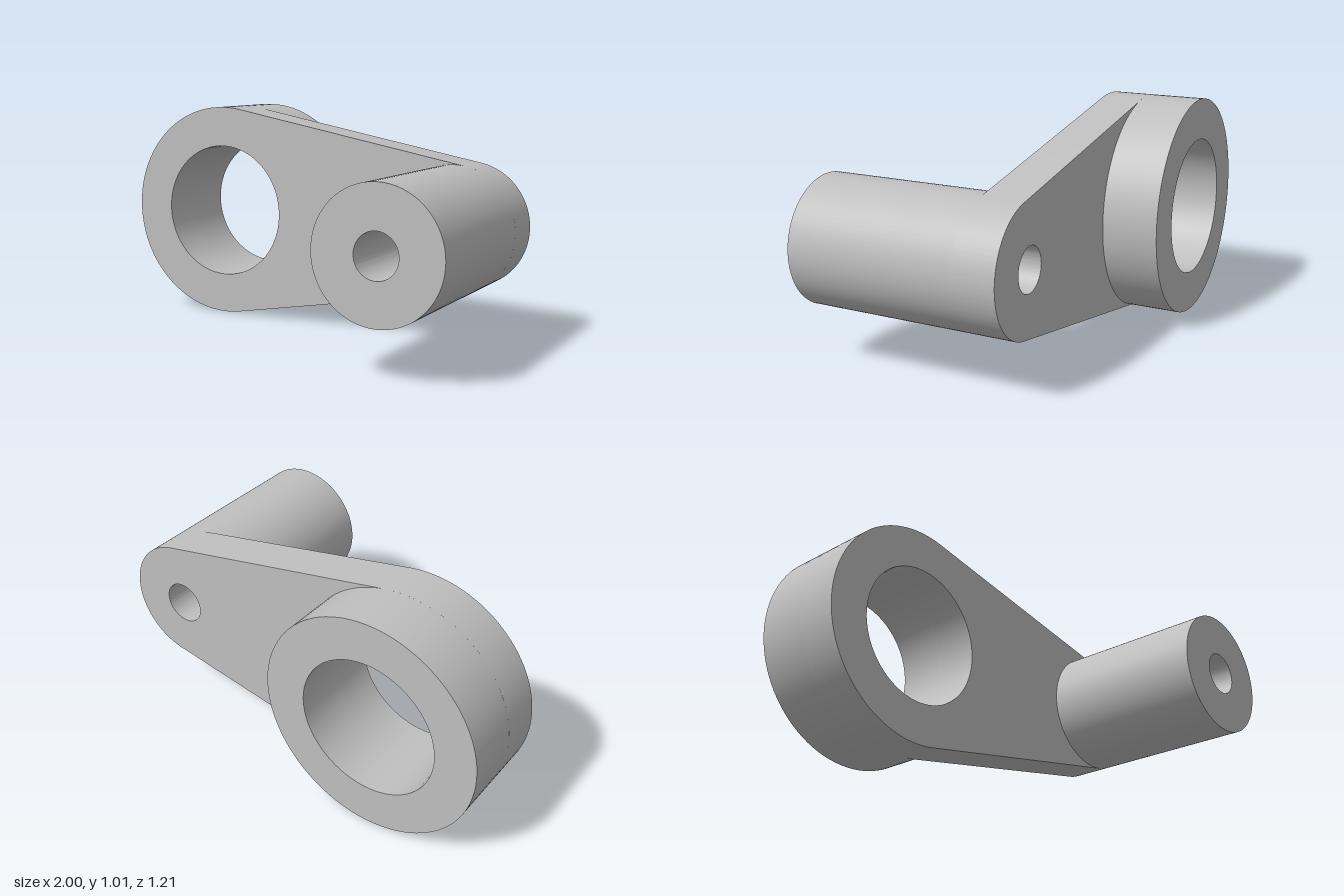
import * as THREE from 'three';
import { toCreasedNormals } from 'three/addons/utils/BufferGeometryUtils.js';

// Axes of the two bosses, seen from the front
const Y = 0.508;
const BIG = { x: -0.493, r: 0.507, bore: 0.318 };
const SMALL = { x: 0.715, r: 0.285, bore: 0.097 };
const BACK = -0.605, PLATE_BACK = -0.352, PLATE_FRONT = -0.16, FRONT = 0.605;

function addBore(shape, boss) {
  const hole = new THREE.Path();
  hole.absarc(boss.x, Y, boss.bore, 0, Math.PI * 2, true);
  shape.holes.push(hole);
}

function ringShape(boss) {
  const shape = new THREE.Shape();
  shape.absarc(boss.x, Y, boss.r, 0, Math.PI * 2, false);
  addBore(shape, boss);
  return shape;
}

// Two end arcs joined by their common tangents
function armShape() {
  const a = Math.acos((BIG.r - SMALL.r) / (SMALL.x - BIG.x));
  const shape = new THREE.Shape();
  shape.absarc(SMALL.x, Y, SMALL.r, -a, a, false);
  shape.absarc(BIG.x, Y, BIG.r, a, Math.PI * 2 - a, false);
  shape.closePath();
  addBore(shape, BIG);
  addBore(shape, SMALL);
  return shape;
}

export function createModel() {
  const group = new THREE.Group();
  group.name = 'crankArm';
  const metal = new THREE.MeshStandardMaterial({ color: 0xbfbfbf });
  metal.name = 'grey metal';

  function addPart(name, shape, z0, z1) {
    const solid = new THREE.ExtrudeGeometry(shape, { depth: z1 - z0, bevelEnabled: false, curveSegments: 48 });
    solid.translate(0, 0, z0);
    const mesh = new THREE.Mesh(toCreasedNormals(solid, Math.PI / 6), metal);
    mesh.name = name;
    group.add(mesh);
  }

  addPart('armPlate', armShape(), PLATE_BACK, PLATE_FRONT);
  addPart('largeHub', ringShape(BIG), BACK, PLATE_BACK); // behind the plate
  addPart('handlePin', ringShape(SMALL), PLATE_FRONT, FRONT); // in front of the plate
  return group;
}
